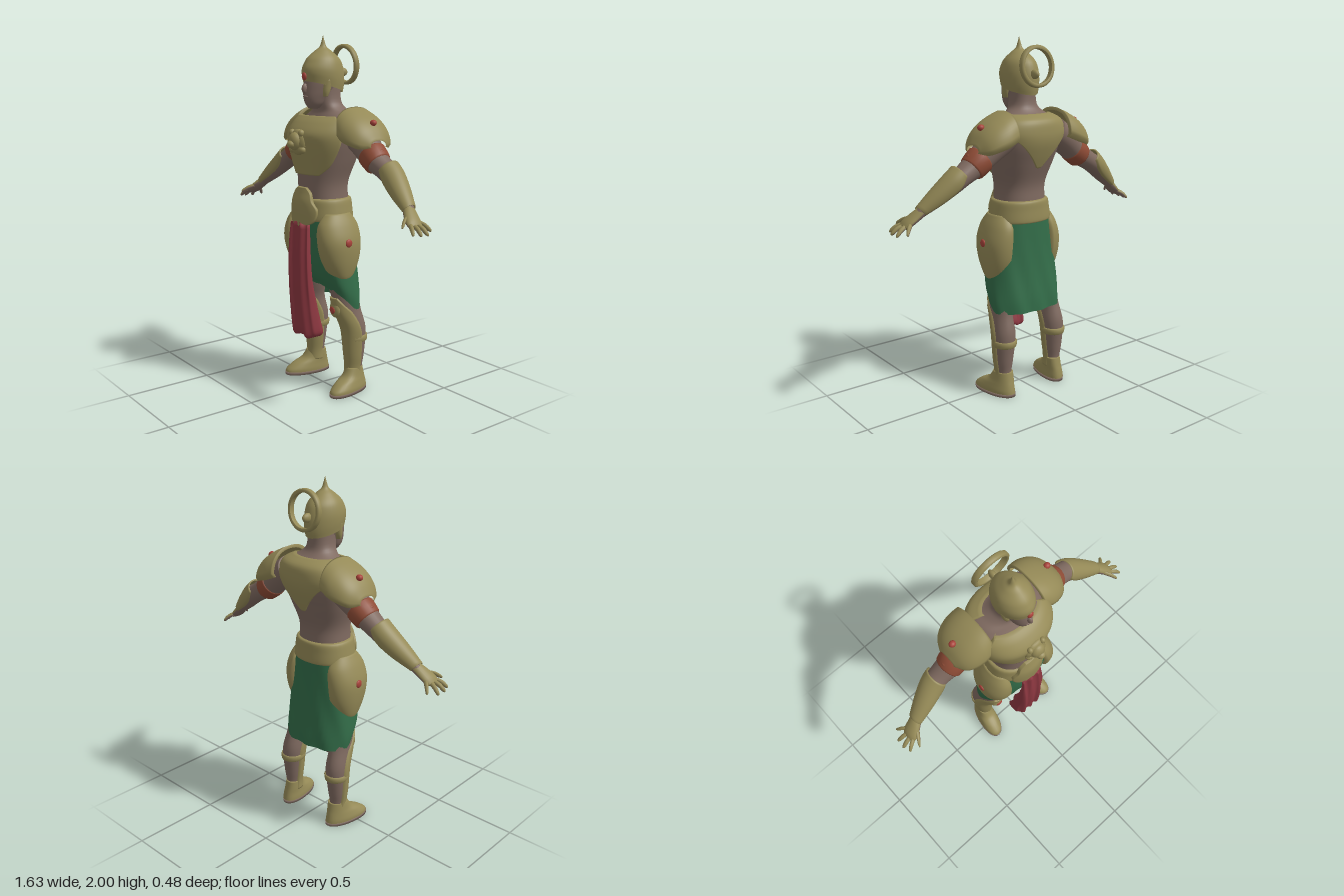
import * as THREE from 'three';

const { sin, cos, abs, sign, PI, max, min } = Math;
const mat = (name, color, side = THREE.FrontSide) => Object.assign(new THREE.MeshStandardMaterial({ color, side }), { name });
const V3 = (x, y, z) => new THREE.Vector3(x, y, z);

// Ring axes: sideways and facing direction
const UP = [V3(1, 0, 0), V3(0, 0, 1)];        // rings stacked upward, arc centred on the front
const ARM = [V3(0, 0, 1), V3(0.6, 0.8, 0)];   // rings running down the arm, arc centred on top
const OUT = [V3(0, 0, 1), V3(0, 1, 0)];       // rings running outward along x
const HIP = [V3(0, 0, -1), V3(1, 0, 0)];      // rings stacked upward, arc centred on the left side

// Smooths a list of rings with Catmull-Rom steps
function smooth(rows, steps) {
  const out = [];
  for (let i = 0; i < rows.length - 1; i++) {
    const p = [rows[max(i - 1, 0)], rows[i], rows[i + 1], rows[min(i + 2, rows.length - 1)]];
    for (let k = 0; k < steps; k++) {
      const t = k / steps;
      out.push(p[1].map((b, j) => {
        const a = p[0][j], c = p[2][j], d = p[3][j];
        return b + 0.5 * t * (c - a + t * (2 * a - 5 * b + 4 * c - d + t * (3 * (b - c) + d - a)));
      }));
    }
  }
  out.push(rows[rows.length - 1].slice());
  return out;
}

// Skins rings [x, y, z, a, b, halfArc]; with a halfArc the result is a raised plate with tucked rims
function loft(rows, { axes = UP, n = 32, p = 1, steps = 5, mid = 0, open = false, twoTone = false, warp } = {}) {
  const plate = rows[0].length > 5, cols = plate ? n + 1 : n;
  const rings = smooth(rows, steps);
  if (plate) {
    const tuck = r => [r[0], r[1], r[2], r[3] * 0.88, r[4] * 0.88, r[5]];
    rings.unshift(tuck(rings[0]));
    rings.push(tuck(rings[rings.length - 1]));
  }
  const pos = [], top = [], under = [];
  const shape = v => sign(v) * abs(v) ** p;
  for (const [x, y, z, a, b, half = PI] of rings)
    for (let j = 0; j < cols; j++) {
      const t = mid + (j / n * 2 - 1) * half;
      const k = plate && (j === 0 || j === n) ? 0.88 : 1;
      const v = V3(x, y, z).addScaledVector(axes[0], max(a, 0) * k * shape(sin(t)))
        .addScaledVector(axes[1], max(b, 0) * k * shape(cos(t)));
      if (warp) warp(v);
      pos.push(v.x, v.y, v.z);
    }
  for (let i = 0; i < rings.length - 1; i++)
    for (let j = 0; j < n; j++) {
      const j2 = (j + 1) % cols, a = i * cols + j, b = i * cols + j2, c = a + cols, d = b + cols;
      const list = twoTone && cos(mid + ((j + 0.5) / n * 2 - 1) * PI) < -0.1 ? under : top;
      list.push(a, b, d, a, d, c);
    }
  if (!plate && !open) {
    const last = (rings.length - 1) * cols;
    for (const [r, base] of [[rings[0], 0], [rings[rings.length - 1], last]]) {
      const v = V3(r[0], r[1], r[2]), c = pos.length / 3;
      if (warp) warp(v);
      pos.push(v.x, v.y, v.z);
      for (let j = 0; j < n; j++) {
        const k = base + j, l = base + (j + 1) % n;
        top.push(c, base ? k : l, base ? l : k);
      }
    }
  }
  const g = new THREE.BufferGeometry();
  g.setAttribute('position', new THREE.Float32BufferAttribute(pos, 3));
  g.setIndex([...top, ...under]);
  if (twoTone) {
    g.addGroup(0, top.length, 0);
    g.addGroup(top.length, under.length, 1);
  }
  g.computeVertexNormals();
  return g;
}

const blob = (x, y, z, rx, ry, rz) => new THREE.SphereGeometry(1, 14, 10).scale(rx, ry, rz).translate(x, y, z);

function mirrored(geo) {
  const g = geo.clone().scale(-1, 1, 1), ix = g.index.array;
  for (let i = 0; i < ix.length; i += 3) [ix[i], ix[i + 1]] = [ix[i + 1], ix[i]];
  return g;
}

export function createModel() {
  const model = new THREE.Group();
  model.name = 'armouredWarrior';
  const gold = mat('gold', 0x958a57, THREE.DoubleSide), skin = mat('skin', 0x7f6a60);
  const green = mat('greenCloth', 0x336d49, THREE.DoubleSide), red = mat('redCloth', 0x8e3841);
  const gem = mat('redGem', 0xa8433a), leather = mat('armbandRed', 0x8f4c36);
  const add = (name, geo, m) => {
    const mesh = new THREE.Mesh(geo, m);
    mesh.name = name;
    model.add(mesh);
  };
  const pair = (name, geo, m) => {
    add(name + 'Left', geo, m);
    add(name + 'Right', mirrored(geo), m);
  };

  // Torso, neck and head
  add('torso', loft([[0, 0.88, 0, 0.15, 0.12], [0, 1.0, 0, 0.155, 0.13], [0, 1.1, 0, 0.145, 0.13], [0, 1.2, 0, 0.145, 0.13],
    [0, 1.32, -0.02, 0.18, 0.15], [0, 1.42, -0.04, 0.205, 0.165], [0, 1.5, -0.06, 0.215, 0.15], [0, 1.56, -0.07, 0.18, 0.12],
    [0, 1.595, -0.05, 0.115, 0.085], [0, 1.64, -0.03, 0.075, 0.075], [0, 1.74, -0.02, 0.068, 0.08]], { n: 40, p: 0.88 }), skin);
  add('head', loft([[0, 1.605, 0.065, 0.025, 0.03], [0, 1.63, 0.055, 0.045, 0.058], [0, 1.66, 0.045, 0.057, 0.078],
    [0, 1.7, 0.025, 0.07, 0.098], [0, 1.76, 0.01, 0.08, 0.105], [0, 1.85, 0, 0.075, 0.095]]), skin);
  add('nose', blob(0, 1.712, 0.122, 0.013, 0.028, 0.022), skin);
  add('lips', blob(0, 1.668, 0.115, 0.022, 0.01, 0.014), skin);

  // Helmet with spike, cheek guards, brow gem and ring crest
  add('helmet', loft([[0, 1.72, 0, 0.093, 0.122], [0, 1.77, 0, 0.1, 0.13], [0, 1.82, 0, 0.098, 0.125], [0, 1.87, 0, 0.082, 0.102],
    [0, 1.91, 0, 0.048, 0.056], [0, 1.935, 0, 0.02, 0.022], [0, 1.965, 0, 0.009, 0.009], [0, 2.0, 0, 0, 0]],
  { p: 1.08, open: true, warp: v => { v.y += v.z * 0.26 * max(0, min(1, (1.85 - v.y) / 0.1)); } }), gold);
  pair('cheekGuard', loft([[0.055, 1.67, 0.035, 0.015, 0.026, 1.3], [0.06, 1.7, 0.03, 0.025, 0.03, 1.4],
    [0.066, 1.76, 0.02, 0.03, 0.03, 1.4]], { axes: HIP, n: 12 }), gold);
  add('browGem', blob(0, 1.778, 0.127, 0.018, 0.022, 0.012), gem);
  const band = [[0.092, -0.014], [0.103, -0.018], [0.112, -0.01], [0.112, 0.01], [0.103, 0.018], [0.092, 0.014], [0.092, -0.014]];
  add('ringCrest', new THREE.LatheGeometry(band.map(q => new THREE.Vector2(...q)), 48)
    .rotateX(PI / 2 + 0.1).translate(0, 1.842, -0.155), gold);
  add('crestMount', blob(0, 1.8, -0.135, 0.018, 0.025, 0.035), gold);

  // Breastplate with sculpted beast-head boss, and pointed back plate
  add('breastplate', loft([[0, 1.245, 0.0, 0.16, 0.145, 0.75], [0, 1.3, -0.01, 0.19, 0.165, 1.1], [0, 1.4, -0.02, 0.225, 0.195, 1.3],
    [0, 1.47, -0.03, 0.232, 0.21, 1.3], [0, 1.53, -0.04, 0.222, 0.175, 1.15], [0, 1.565, -0.045, 0.2, 0.135, 0.95]],
  { n: 40, p: 0.92 }), gold);
  add('bossMane', blob(0, 1.425, 0.17, 0.068, 0.072, 0.032), gold);
  add('bossFace', blob(0, 1.43, 0.19, 0.045, 0.05, 0.036), gold);
  add('bossMuzzle', blob(0, 1.415, 0.215, 0.026, 0.022, 0.027), gold);
  pair('bossEar', blob(0.042, 1.475, 0.18, 0.016, 0.02, 0.018), gold);
  pair('bossCheek', blob(0.042, 1.385, 0.175, 0.024, 0.022, 0.022), gold);
  add('backPlate', loft([[0, 1.3, -0.018, 0.19, 0.158, 0.04], [0, 1.37, -0.03, 0.208, 0.175, 0.3], [0, 1.44, -0.045, 0.222, 0.182, 0.65],
    [0, 1.5, -0.06, 0.228, 0.17, 1.15], [0, 1.56, -0.07, 0.195, 0.145, 1.35], [0, 1.592, -0.055, 0.14, 0.105, 1.35]],
  { n: 40, p: 0.88, mid: PI }), gold);

  // Shoulder guards
  pair('shoulderGuard', loft([[0.175, 1.465, -0.085, 0.15, 0.15, 1.6], [0.235, 1.44, -0.085, 0.158, 0.148, 1.6],
    [0.295, 1.42, -0.085, 0.145, 0.13, 1.6], [0.34, 1.405, -0.085, 0.115, 0.1, 1.6], [0.372, 1.41, -0.085, 0.06, 0.04, 1.6]],
  { axes: OUT, n: 28, p: 0.85 }), gold);
  pair('shoulderGem', blob(0.322, 1.535, -0.09, 0.02, 0.017, 0.018), gem);

  // Arms, armbands and forearm guards
  pair('arm', loft([[0.15, 1.49, -0.09, 0.1, 0.085], [0.26, 1.42, -0.087, 0.085, 0.08], [0.35, 1.345, -0.08, 0.072, 0.067],
    [0.44, 1.29, -0.085, 0.06, 0.055], [0.5, 1.255, -0.08, 0.06, 0.056], [0.58, 1.19, -0.06, 0.05, 0.045],
    [0.66, 1.125, -0.038, 0.033, 0.028], [0.69, 1.1, -0.03, 0.03, 0.022]], { axes: ARM, n: 24 }), skin);
  pair('armband', loft([[0.317, 1.373, -0.082, 0.072, 0.068], [0.322, 1.37, -0.082, 0.082, 0.078], [0.375, 1.325, -0.081, 0.076, 0.072],
    [0.38, 1.32, -0.081, 0.066, 0.062]], { axes: ARM, n: 24, steps: 2 }), leather);
  pair('armbandBuckle', blob(0.392, 1.388, -0.082, 0.018, 0.016, 0.022), leather);
  pair('forearmGuard', loft([[0.452, 1.3, -0.084, 0.068, 0.063, 1.7], [0.5, 1.255, -0.08, 0.069, 0.066, 2.1],
    [0.58, 1.19, -0.06, 0.06, 0.054, 2.2], [0.665, 1.122, -0.036, 0.042, 0.036, 2.0]], { axes: ARM, n: 24 }), gold);

  // Gauntleted hands: gold on the back, bare palms
  const glove = [gold, skin];
  pair('palm', loft([[0.65, 1.133, -0.04, 0.032, 0.027], [0.69, 1.1, -0.022, 0.042, 0.026], [0.73, 1.068, -0.008, 0.048, 0.022],
    [0.752, 1.05, -0.004, 0.04, 0.014]], { axes: ARM, n: 20, twoTone: true }), glove);
  const fingers = [[0.728, 1.068, -0.042, 0.775, 1.022, -0.085], [0.74, 1.06, -0.02, 0.808, 1.012, -0.034],
    [0.744, 1.058, 0.004, 0.812, 1.015, 0.015], [0.738, 1.062, 0.024, 0.798, 1.02, 0.056], [0.69, 1.095, 0.005, 0.745, 1.052, 0.08]];
  fingers.forEach(([x, y, z, X, Y, Z], i) => {
    const at = (t, r) => [x + (X - x) * t, y + (Y - y) * t + 0.008 * sin(PI * t), z + (Z - z) * t, r, r];
    pair(i < 4 ? 'finger' + (i + 1) : 'thumb', loft([at(0, 0.012), at(0.5, 0.012), at(0.88, 0.0095), at(1, 0.003)],
      { axes: ARM, n: 10, steps: 3, twoTone: true }), glove);
  });

  // Belt with raised front plate
  add('belt', loft([[0, 0.99, 0, 0.168, 0.143], [0, 1.0, 0, 0.18, 0.153], [0, 1.06, 0, 0.172, 0.15], [0, 1.105, 0, 0.162, 0.147],
    [0, 1.115, 0, 0.145, 0.132]], { open: true, p: 0.9 }), gold);
  add('beltPlate', loft([[0, 0.96, 0.005, 0.17, 0.17, 0.25], [0, 0.99, 0.005, 0.178, 0.172, 0.65], [0, 1.05, 0.005, 0.175, 0.175, 0.8],
    [0, 1.1, 0.005, 0.165, 0.172, 0.62], [0, 1.145, 0.005, 0.158, 0.158, 0.5], [0, 1.175, 0.005, 0.155, 0.148, 0.25]]), gold);

  // Green skirt with raised front hem, and hanging red cloth with folds
  add('skirt', loft([[0, 0.485, -0.045, 0.222, 0.13], [0, 0.56, -0.03, 0.228, 0.14], [0, 0.7, -0.01, 0.218, 0.145],
    [0, 0.85, 0, 0.2, 0.145], [0, 1.03, 0, 0.17, 0.138]], {
    n: 56, p: 0.85, open: true, warp: v => {
      const t = (1.03 - v.y) / 0.545, a = Math.atan2(v.x, v.z);
      v.z += 0.006 * t * sin(a * 9 + v.y * 14);
      v.y += 0.15 * t * t * min(1, max(0, v.z + 0.06) / 0.15);
    },
  }), green);
  add('frontCloth', loft([[0, 0.322, 0.105, 0.08, 0.045], [0, 0.345, 0.112, 0.094, 0.056], [0, 0.42, 0.127, 0.093, 0.05],
    [0, 0.52, 0.143, 0.088, 0.042], [0, 0.65, 0.16, 0.085, 0.03], [0, 0.8, 0.165, 0.082, 0.023], [0, 0.98, 0.16, 0.07, 0.018]],
  { n: 64, p: 0.6, warp: v => { v.z += 0.009 * sin(v.x * 115 + v.y * 4); v.y += 0.008 * cos(v.x * 60); } }), red);

  // Hip guards
  pair('hipGuard', loft([[0.165, 0.657, 0.0, 0.03, 0.045, 1.6], [0.155, 0.69, 0.0, 0.075, 0.073, 1.65], [0.15, 0.78, 0.005, 0.12, 0.096, 1.7],
    [0.145, 0.88, 0.01, 0.138, 0.103, 1.7], [0.135, 0.97, 0.01, 0.128, 0.085, 1.7], [0.13, 1.035, 0.01, 0.085, 0.055, 1.6]],
  { axes: HIP, p: 0.9 }), gold);
  pair('hipGem', blob(0.246, 0.88, 0.01, 0.01, 0.023, 0.023), gem);

  // Legs, greaves, calf straps and knee gems
  pair('leg', loft([[0.183, 0.05, -0.09, 0.042, 0.055], [0.18, 0.13, -0.085, 0.042, 0.05], [0.18, 0.22, -0.088, 0.053, 0.058],
    [0.176, 0.36, -0.09, 0.062, 0.068], [0.168, 0.48, -0.052, 0.055, 0.078], [0.15, 0.58, -0.035, 0.07, 0.085],
    [0.115, 0.75, -0.01, 0.085, 0.1], [0.09, 0.95, 0, 0.08, 0.1]], { n: 24 }), skin);
  pair('greave', loft([[0.18, 0.085, -0.085, 0.05, 0.06, 1.9], [0.18, 0.14, -0.085, 0.049, 0.058, 1.9], [0.18, 0.22, -0.087, 0.06, 0.067, 1.8],
    [0.176, 0.36, -0.088, 0.071, 0.083, 1.65], [0.168, 0.46, -0.055, 0.064, 0.092, 1.5], [0.162, 0.52, -0.04, 0.062, 0.097, 1.0],
    [0.158, 0.56, -0.035, 0.07, 0.095, 0.5]], { n: 28 }), gold);
  pair('kneeGuard', blob(0.16, 0.495, 0.035, 0.04, 0.052, 0.025), gold);
  pair('kneeGem', blob(0.16, 0.49, 0.056, 0.022, 0.022, 0.009), gem);
  pair('calfStrap', loft([[0.178, 0.29, -0.09, 0.055, 0.062], [0.178, 0.295, -0.09, 0.067, 0.074], [0.177, 0.325, -0.09, 0.07, 0.077],
    [0.177, 0.33, -0.09, 0.058, 0.064]], { n: 24, steps: 2 }), gold);

  // Boots turned slightly outward, with bare soles
  const toeOut = v => { v.x += 0.16 * (v.z + 0.08); };
  pair('boot', loft([[0.19, 0.015, -0.03, 0.062, 0.138], [0.19, 0.035, -0.033, 0.062, 0.132], [0.188, 0.065, -0.05, 0.056, 0.108],
    [0.185, 0.095, -0.075, 0.05, 0.075], [0.182, 0.14, -0.085, 0.045, 0.055]], { n: 28, p: 0.9, warp: toeOut }), gold);
  pair('sole', loft([[0.19, 0, -0.03, 0.063, 0.139], [0.19, 0.018, -0.03, 0.064, 0.14]], { n: 28, p: 0.9, steps: 1, warp: toeOut }), skin);

  return model;
}
